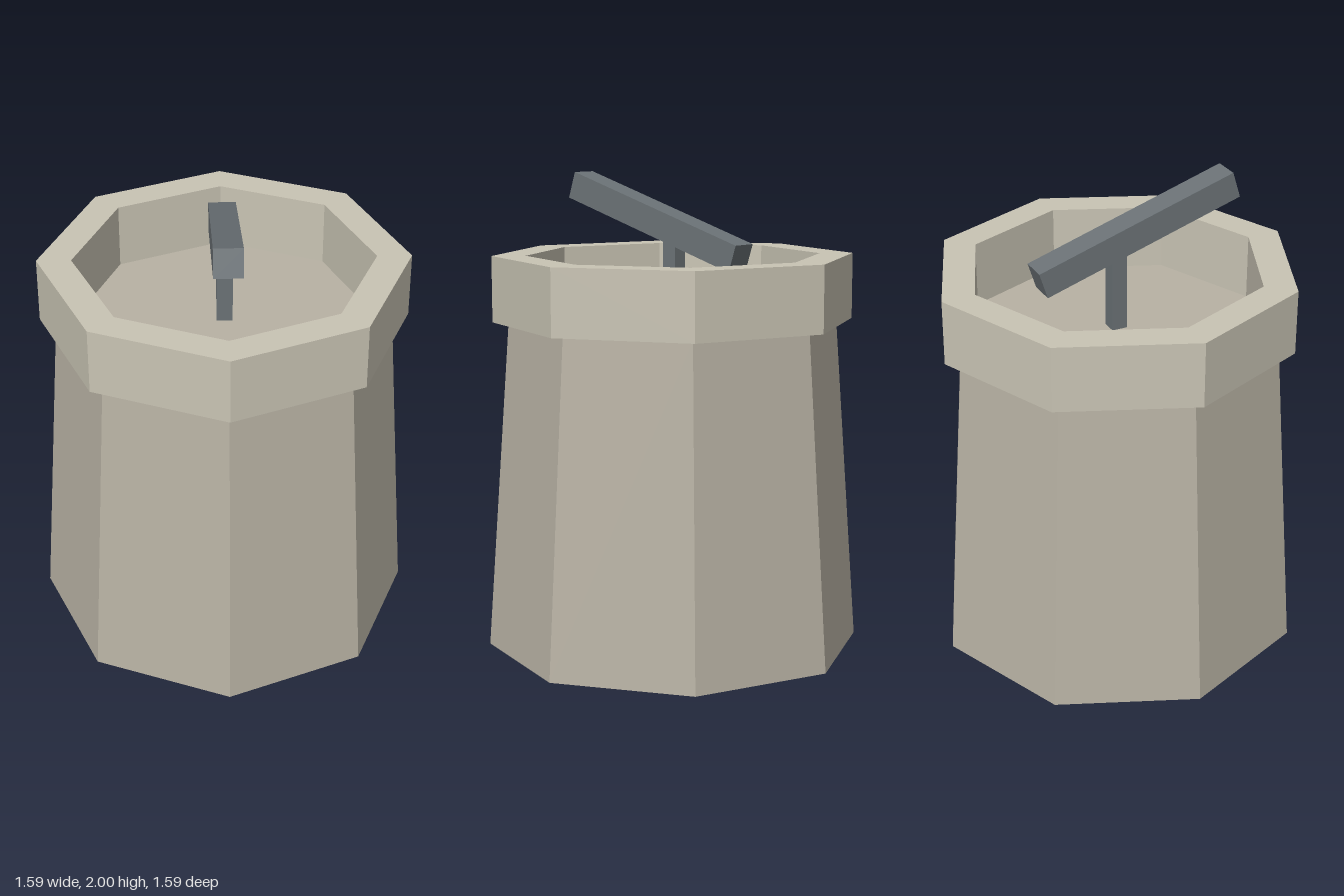
import * as THREE from 'three';

const SIDES = 8;
const FLOOR = 1.39;
const RIM = 1.667;

const material = (color) => new THREE.MeshStandardMaterial({ color, flatShading: true });

function addMesh(parent, name, geometry, mat) {
  const mesh = new THREE.Mesh(geometry, mat);
  mesh.name = name;
  parent.add(mesh);
  return mesh;
}

export function createModel() {
  const model = new THREE.Group();
  model.name = 'gunTower';
  const wallStone = material(0xb8b2a4);
  const rimStone = material(0xc9c4b4);
  const metal = material(0x6b7276);

  // Tapered eight-sided tower; its top is the gun platform
  const body = addMesh(model, 'towerBody',
    new THREE.CylinderGeometry(0.695, 0.795, FLOOR, SIDES), wallStone);
  body.position.y = FLOOR / 2;

  // Overhanging hollow parapet: closed rectangular section turned in eight steps
  const section = [[0.62, FLOOR], [0.762, FLOOR], [0.762, RIM], [0.62, RIM], [0.62, FLOOR]]
    .map(([r, y]) => new THREE.Vector2(r, y));
  addMesh(model, 'parapet', new THREE.LatheGeometry(section, SIDES), rimStone);

  // Gun on a square post, barrel raised towards the front
  const gun = new THREE.Group();
  gun.name = 'gun';
  model.add(gun);
  const post = addMesh(gun, 'gunPost', new THREE.BoxGeometry(0.066, 0.37, 0.066), metal);
  post.position.y = FLOOR + 0.185;
  const barrel = addMesh(gun, 'gunBarrel', new THREE.BoxGeometry(0.116, 0.116, 0.912), metal);
  barrel.position.set(0, 1.807, 0.085);
  barrel.rotation.x = -0.306;

  return model;
}
